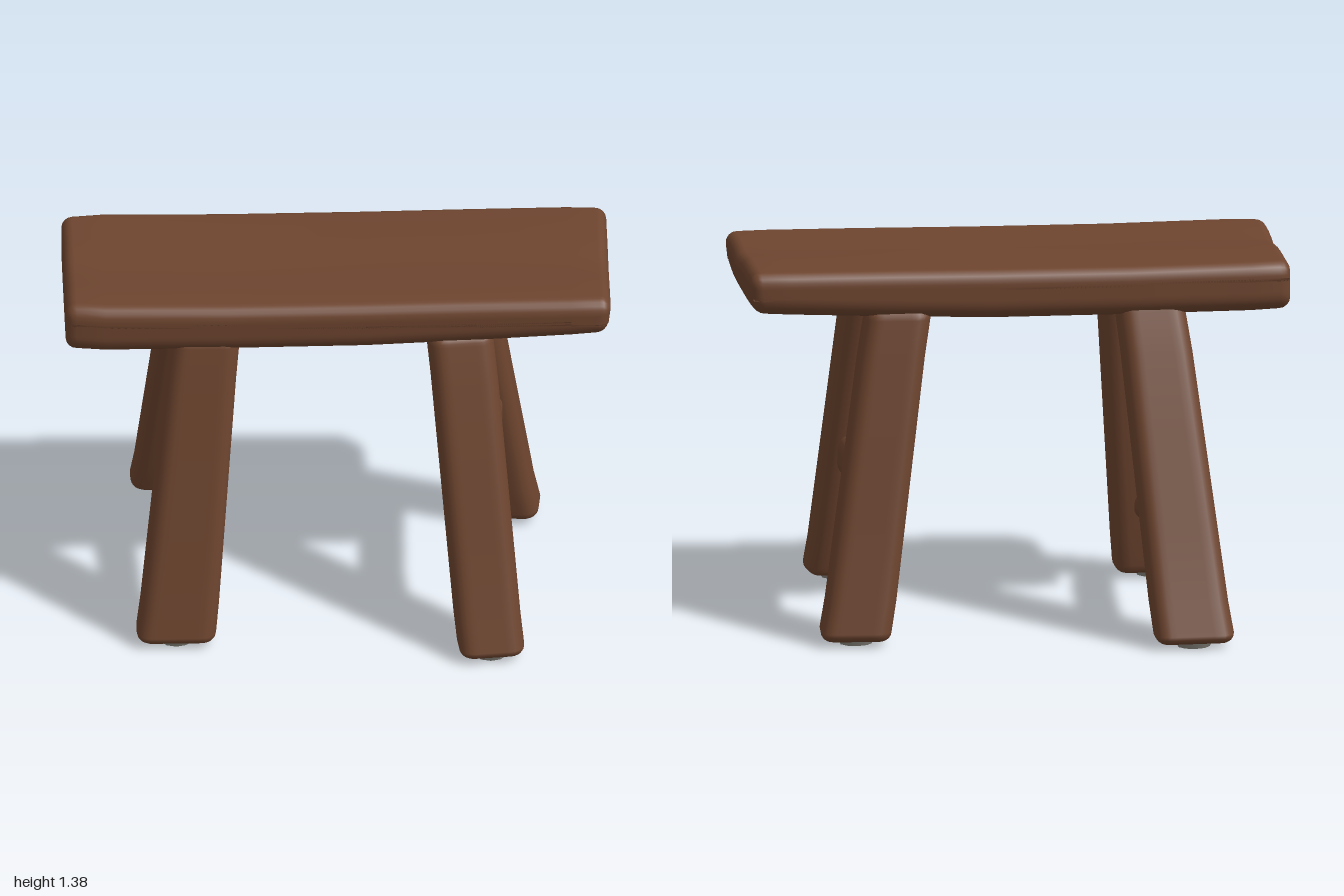
import * as THREE from 'three';

const wood = new THREE.MeshStandardMaterial({ color: 0x6e452f });
wood.name = 'brownWood';
const stone = new THREE.MeshStandardMaterial({ color: 0x8c8880 });
stone.name = 'greyFoot';

const X = new THREE.Vector3(1, 0, 0), Y = new THREE.Vector3(0, 1, 0), Z = new THREE.Vector3(0, 0, 1);

// Outline of a rounded rectangle, with points along its edges too
function section(hu, hv, r) {
  const arcs = 5, edge = 8, pts = [];
  const corners = [[1, 1], [-1, 1], [-1, -1], [1, -1]];
  const arcPoint = (k, i) => {
    const a = (k + i / arcs) * Math.PI / 2;
    return [corners[k][0] * (hu - r) + Math.cos(a) * r, corners[k][1] * (hv - r) + Math.sin(a) * r];
  };
  for (let k = 0; k < 4; k++) {
    for (let i = 0; i <= arcs; i++) pts.push(arcPoint(k, i));
    const a = arcPoint(k, arcs), b = arcPoint((k + 1) % 4, 0);
    for (let i = 1; i < edge; i++) {
      const t = i / edge;
      pts.push([a[0] + (b[0] - a[0]) * t, a[1] + (b[1] - a[1]) * t]);
    }
  }
  return pts;
}

// Solid swept along u x v through stations [x, y, z, halfU, halfV], with rounded ends
function loft(stations, u, v, r, endR, twist = 0) {
  const dir = u.clone().cross(v);
  const rings = stations.slice(1, -1).map(s => [...s, r]);
  const endRings = (s, sign) => {
    const out = [];
    for (let i = 0; i <= 4; i++) {
      const a = i / 4 * Math.PI / 2, inset = endR * (1 - Math.cos(a)), back = endR * (1 - Math.sin(a));
      const p = new THREE.Vector3(s[0], s[1], s[2]).addScaledVector(dir, -sign * back);
      out.push([p.x, p.y, p.z, s[3] - inset, s[4] - inset, Math.max(r - inset, 0.01)]);
    }
    const [x, y, z, a, b, c] = out[4];
    out.push([x, y, z, a * 0.85, b * 0.85, c * 0.85]);
    return out;
  };
  rings.unshift(...endRings(stations[0], -1).reverse());
  rings.push(...endRings(stations[stations.length - 1], 1));

  const pos = [], idx = [], p = new THREE.Vector3();
  let n = 0;
  const c = Math.cos(twist), s = Math.sin(twist);
  for (const [x, y, z, hu, hv, rad] of rings) {
    const pts = section(hu, hv, rad);
    n = pts.length;
    for (const [a, b] of pts) {
      p.set(x, y, z).addScaledVector(u, a * c - b * s).addScaledVector(v, a * s + b * c);
      pos.push(p.x, p.y, p.z);
    }
  }
  for (let j = 0; j < rings.length - 1; j++) {
    for (let i = 0; i < n; i++) {
      const a = j * n + i, b = j * n + (i + 1) % n;
      idx.push(a, b, b + n, a, b + n, a + n);
    }
  }
  // End caps
  const last = rings.length - 1, c0 = pos.length / 3;
  pos.push(...rings[0].slice(0, 3), ...rings[last].slice(0, 3));
  for (let i = 0; i < n; i++) {
    const k = (i + 1) % n;
    idx.push(c0, k, i, c0 + 1, last * n + i, last * n + k);
  }
  const g = new THREE.BufferGeometry();
  g.setAttribute('position', new THREE.Float32BufferAttribute(pos, 3));
  g.setIndex(idx);
  g.computeVertexNormals();
  return g;
}

function add(group, name, geometry, material) {
  const m = new THREE.Mesh(geometry, material);
  m.name = name;
  group.add(m);
  return m;
}

function buildSeat() {
  const g = loft([
    [-0.995, 1.257, 0.03, 0.1, 0.345],
    [-0.85, 1.256, 0.032, 0.102, 0.357],
    [-0.4, 1.256, 0.037, 0.1, 0.357],
    [0.1, 1.262, 0.043, 0.1, 0.357],
    [0.5, 1.275, 0.048, 0.095, 0.357],
    [0.85, 1.287, 0.052, 0.088, 0.357],
    [0.995, 1.29, 0.054, 0.085, 0.352],
  ], Y, Z, 0.05, 0.04);
  // Worn groove at the ends, slanted end faces and raised lower edges
  const p = g.attributes.position;
  for (let i = 0; i < p.count; i++) {
    const x = p.getX(i), y = p.getY(i), z = p.getZ(i);
    if (y > 1.27) p.setY(i, y - 0.022 * Math.exp(-(((z - 0.1) / 0.08) ** 2)) * (0.2 + 0.8 * x ** 6));
    else p.setY(i, y + 0.03 * Math.min(1, Math.abs(z - 0.04) / 0.36) ** 4);
    if (x > 0.9) p.setX(i, x - 0.12 * Math.max(0, 1.33 - y));
  }
  g.computeVertexNormals();
  return g;
}

// Legs: foot and top as [x, z, half width in x, half depth in z]
const legs = [
  { name: 'frontRightLeg', foot: [-0.595, 0.47, 0.145, 0.085], top: [-0.485, 0.29, 0.125, 0.09], twist: 0 },
  { name: 'frontLeftLeg', foot: [0.55, 0.6, 0.12, 0.085], top: [0.445, 0.3, 0.12, 0.09], twist: 0.1 },
  { name: 'backLeftLeg', foot: [0.625, -0.385, 0.13, 0.095], top: [0.445, -0.2, 0.12, 0.1], twist: -0.1 },
  { name: 'backRightLeg', foot: [-0.59, -0.605, 0.145, 0.082], top: [-0.485, -0.21, 0.125, 0.095], twist: 0 },
];

function buildLeg({ foot, top, twist }) {
  const stations = [0, 0.12, 0.35, 0.6, 0.85, 1].map(t => {
    const m = foot.map((f, i) => f + (top[i] - f) * t);
    return [m[0], 0.018 + t * 1.2, m[1], m[3], m[2]];
  });
  return loft(stations, Z, X, 0.055, 0.035, twist);
}

export function createModel() {
  const model = new THREE.Group();
  model.name = 'bench';
  add(model, 'seat', buildSeat(), wood);

  for (const leg of legs) {
    const group = new THREE.Group();
    group.name = leg.name;
    add(group, 'leg', buildLeg(leg), wood);
    // Worn grey pad under the foot
    const pad = add(group, 'footPad', new THREE.CylinderGeometry(0.075, 0.06, 0.03, 10), stone);
    pad.position.set(leg.foot[0], 0.015, leg.foot[1]);
    pad.scale.z = 0.85;
    model.add(group);
  }

  // Rungs between front and back legs
  add(model, 'leftRung', loft([
    [0.56, 0.555, -0.31, 0.055, 0.075],
    [0.56, 0.552, -0.2, 0.055, 0.077],
    [0.545, 0.54, 0, 0.052, 0.075],
    [0.53, 0.525, 0.25, 0.055, 0.075],
    [0.52, 0.51, 0.38, 0.06, 0.08],
    [0.52, 0.505, 0.46, 0.06, 0.08],
  ], X, Y, 0.05, 0.02), wood);
  add(model, 'rightRung', loft([
    [-0.56, 0.395, -0.48, 0.055, 0.07],
    [-0.56, 0.38, -0.24, 0.055, 0.07],
    [-0.56, 0.35, 0, 0.052, 0.07],
    [-0.565, 0.32, 0.22, 0.052, 0.066],
    [-0.565, 0.29, 0.34, 0.055, 0.055],
    [-0.565, 0.285, 0.43, 0.06, 0.055],
  ], X, Y, 0.048, 0.02), wood);

  // Small bare patch on the left rung
  const patch = add(model, 'barePatch', new THREE.CylinderGeometry(0.02, 0.02, 0.006, 10), stone);
  patch.position.set(0.545, 0.615, 0);
  return model;
}
